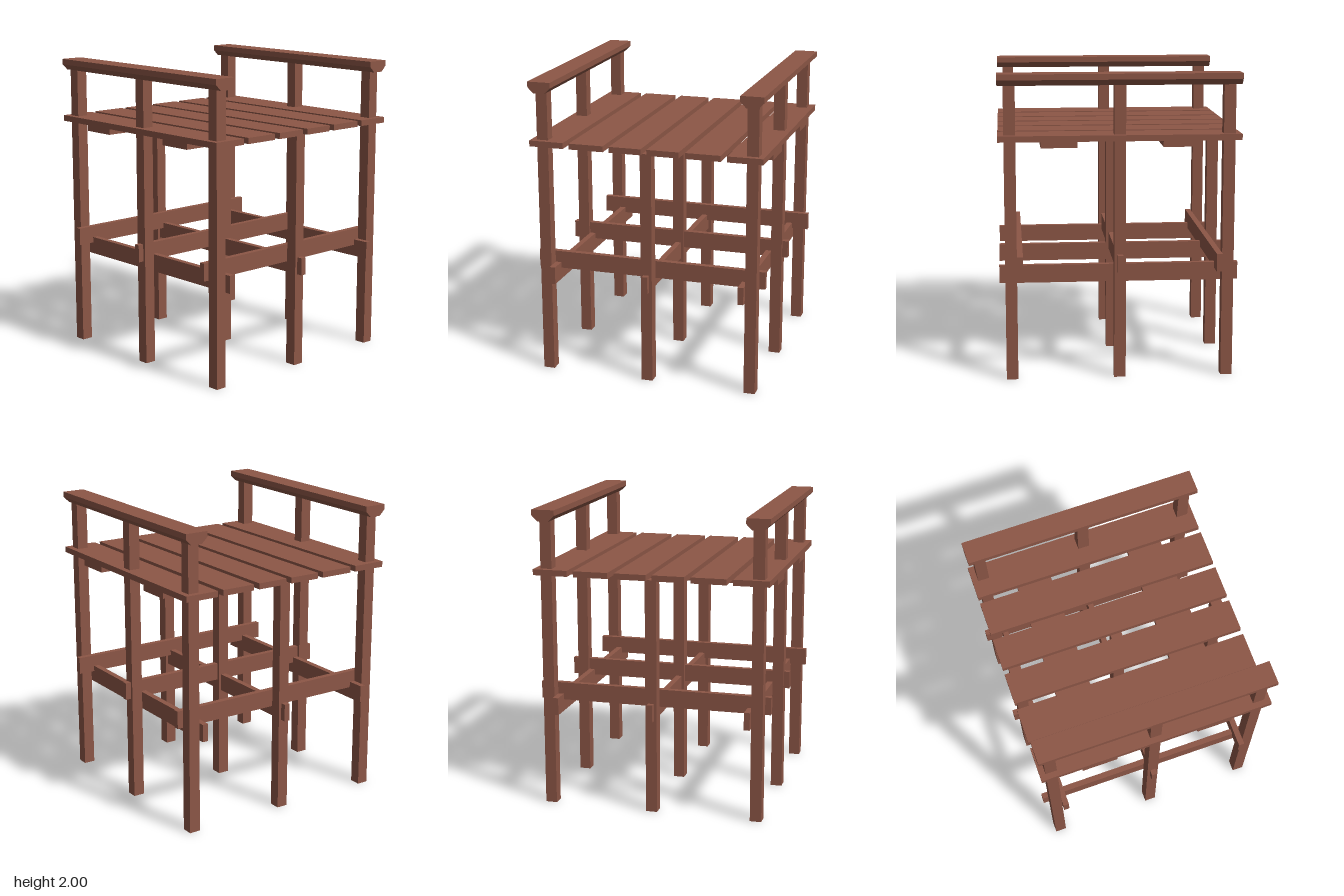
import * as THREE from 'three';

export function createModel() {
  const model = new THREE.Group();
  const wood = new THREE.MeshStandardMaterial({ color: 0x8c5646 });
  const LENGTH = 1.565, POST = 0.076, SPACING = 0.706;

  function beam(name, w, h, d, x, bottom, z) {
    const mesh = new THREE.Mesh(new THREE.BoxGeometry(w, h, d), wood);
    mesh.name = name;
    mesh.position.set(x, bottom + h / 2, z);
    model.add(mesh);
  }

  // Nine posts: the front and back rows carry on up to the rails
  for (const i of [-1, 0, 1]) {
    for (const k of [-1, 0, 1]) {
      const height = k === 0 ? 1.57 : 1.925;
      beam(k === 0 ? 'middlePost' : 'railPost', POST, height, POST, i * SPACING, 0, k * SPACING);
    }
  }

  // Crossing braces, the outer ones set against the inside of the posts
  for (const i of [-1, 0, 1]) {
    beam('sideToSideBrace', LENGTH, 0.117, 0.039, 0, 0.631, i * 0.648);
    beam('frontToBackBrace', 0.039, 0.117, LENGTH, i * 0.648, 0.709, 0);
  }

  // Flat supports under the deck
  for (const s of [-1, 1]) beam('deckSupport', 0.235, 0.039, LENGTH, s * 0.392, 1.532, 0);

  // Six deck planks with even gaps
  const pitch = 0.2665;
  for (let i = 0; i < 6; i++) {
    const half = i === 2 || i === 3 ? 0.107 : 0.1165;
    const z = Math.sign(i - 2.5) * (half === 0.107 ? 0.127 : 0.392 + (Math.abs(i - 2.5) - 1.5) * pitch * 1.03);
    beam('deckPlank', LENGTH, 0.039, half * 2, 0, 1.571, z);
  }

  // Top rails with chamfered lower edges
  const profile = new THREE.Shape([
    [-0.038, 1.925], [0.038, 1.925], [0.077, 1.963], [0.077, 2], [-0.077, 2], [-0.077, 1.963],
  ].map(([x, y]) => new THREE.Vector2(x, y)));
  const railGeometry = new THREE.ExtrudeGeometry(profile, { depth: LENGTH, bevelEnabled: false });
  railGeometry.translate(0, 0, -LENGTH / 2).rotateY(Math.PI / 2);
  for (const s of [-1, 1]) {
    const rail = new THREE.Mesh(railGeometry, wood);
    rail.name = s > 0 ? 'frontRail' : 'backRail';
    rail.position.z = s * SPACING;
    model.add(rail);
  }
  return model;
}
